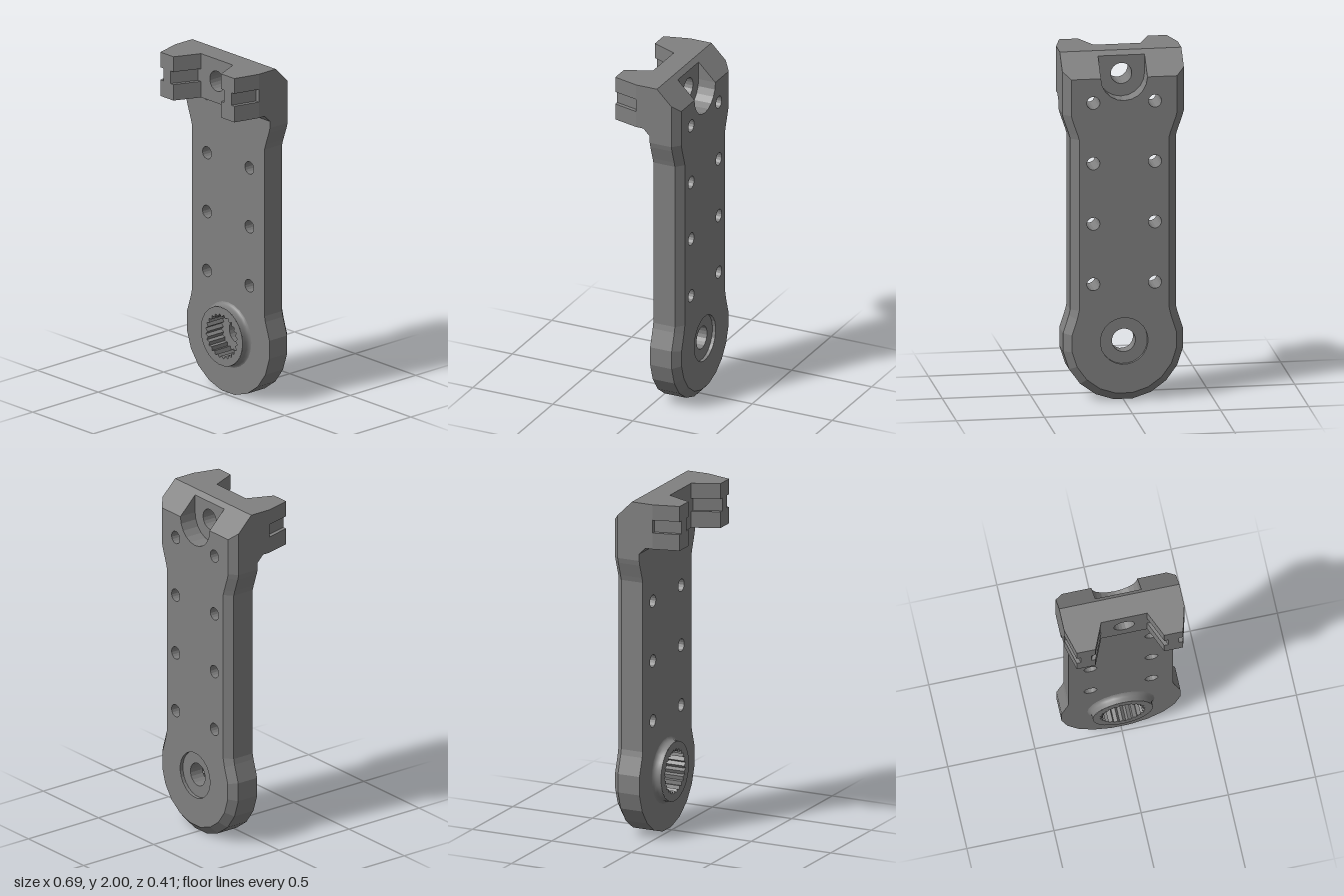
import * as THREE from 'three';
import { mergeGeometries } from 'three/addons/utils/BufferGeometryUtils.js';

const BACK = -0.205, FRONT = -0.03, HUB_Y = 0.345, BORE_Y = 1.87;
const HOLE_R = 0.037, HOLE_X = 0.175, HEAD_Y = 1.74;

const vec = (x, y) => new THREE.Vector2(x, y);
const mirror = (pts) => pts.map((p) => vec(-p.x, p.y));

function circle(cx, cy, r, n) {
  return Array.from({ length: n }, (_, i) => {
    const a = ((i + 0.5) / n) * Math.PI * 2;
    return vec(cx + r * Math.cos(a), cy + r * Math.sin(a));
  });
}

// Flat-shaded wall through rings [points, z]; counter-clockwise rings face outward
function wall(rings) {
  const pos = [];
  for (let s = 0; s < rings.length - 1; s++) {
    const [p, z0] = rings[s], [q, z1] = rings[s + 1];
    p.forEach((a, i) => {
      const j = (i + 1) % p.length, b = p[j], c = q[j], d = q[i];
      pos.push(a.x, a.y, z0, b.x, b.y, z0, c.x, c.y, z1);
      pos.push(a.x, a.y, z0, c.x, c.y, z1, d.x, d.y, z1);
    });
  }
  const g = new THREE.BufferGeometry();
  g.setAttribute('position', new THREE.Float32BufferAttribute(pos, 3));
  g.computeVertexNormals();
  return g;
}

// Inward-facing wall of a hole
const bore = (pts, z0, z1) => {
  const p = [...pts].reverse();
  return wall([[p, z0], [p, z1]]);
};

function shapeOf(pts, holes = []) {
  const s = new THREE.Shape(pts);
  s.holes = holes.map((h) => new THREE.Path(h));
  return s;
}

// Flat face at height z, looking forward or backward
function cap(pts, holes, z, backward = false) {
  let g = new THREE.ShapeGeometry(shapeOf(pts, holes)).toNonIndexed();
  g.deleteAttribute('uv');
  if (backward) {
    const a = g.attributes.position.array;
    for (let i = 0; i < a.length; i += 9) {
      for (let k = 0; k < 3; k++) [a[i + 3 + k], a[i + 6 + k]] = [a[i + 6 + k], a[i + 3 + k]];
    }
  }
  g.translate(0, 0, z);
  g.computeVertexNormals();
  return g;
}

const extrude = (pts, depth, holes) =>
  new THREE.ExtrudeGeometry(shapeOf(pts, holes), { depth, bevelEnabled: false });

// U-shaped pocket edge, from right top down and round to left top
function pocketEdge(top) {
  const pts = [vec(0.132, top)];
  for (let i = 0; i <= 10; i++) {
    const a = (-i / 10) * Math.PI;
    pts.push(vec(0.132 * Math.cos(a), BORE_Y + 0.132 * Math.sin(a)));
  }
  pts.push(vec(-0.132, top));
  return pts;
}

// Arm outline, counter-clockwise
function outline(inset, top, pocket) {
  const right = [];
  for (let deg = -81; deg <= 27; deg += 18) {
    const a = THREE.MathUtils.degToRad(deg), r = 0.345 - inset;
    right.push(vec(r * Math.cos(a), 0.341 + r * Math.sin(a)));
  }
  [[0.3, 0.53], [0.3, 1.52], [0.309, 1.55], [0.337, 1.63], [0.345, 1.66], [0.345, top]]
    .forEach(([x, y]) => right.push(vec(x - inset, y)));
  return [...right, ...(pocket ? pocketEdge(top) : []), ...mirror(right).reverse()];
}

export function createModel() {
  const model = new THREE.Group();
  const grey = new THREE.MeshStandardMaterial({ color: 0x808080 });
  grey.name = 'grey plastic';
  const add = (name, ...geos) => {
    geos.forEach((g) => g.deleteAttribute('uv'));
    const mesh = new THREE.Mesh(geos.length > 1 ? mergeGeometries(geos) : geos[0], grey);
    mesh.name = name;
    model.add(mesh);
  };

  // Arm with chamfered back edge, sloping top and screw holes
  const screwHoles = [];
  for (const y of [0.68, 1.03, 1.38, 1.73]) {
    for (const s of [-1, 1]) screwHoles.push(circle(s * HOLE_X, y, HOLE_R, 16));
  }
  const topBore = circle(0, BORE_Y, 0.06, 20);
  const recess = circle(0, HUB_Y, 0.135, 24);
  const backOutline = outline(0.045, 1.87, true);
  add('arm',
    wall([[backOutline, BACK], [outline(0, 1.91, true), -0.165], [outline(0, 1.975, true), -0.1]]),
    wall([[outline(0, 1.975), -0.1], [outline(0, 2), -0.075], [outline(0, 2), FRONT]]),
    cap(backOutline, [...screwHoles, recess], BACK, true),
    cap(outline(0, 2), [...screwHoles, topBore, circle(0, HUB_Y, 0.16, 24)], FRONT));
  add('screwHoles', ...screwHoles.map((h) => bore(h, BACK, FRONT)));
  add('backPocket', cap(pocketEdge(1.975), [topBore], -0.1, true), bore(topBore, -0.1, FRONT));

  // Hub: raised ring, toothed socket, through hole and shallow back recess
  const ringProfile = [[0.192, -0.03], [0.181, -0.025], [0.175, -0.012], [0.173, 0], [0.173, 0.02]];
  const ring = new THREE.LatheGeometry(ringProfile.map(([r, z]) => vec(r, z)), 24);
  ring.rotateX(Math.PI / 2).translate(0, HUB_Y, 0);
  add('hubRing', ring);
  const teeth = Array.from({ length: 48 }, (_, i) => {
    const a = (i / 48) * Math.PI * 2, r = i % 2 ? 0.132 : 0.115;
    return vec(r * Math.cos(a), HUB_Y + r * Math.sin(a));
  });
  const axle = circle(0, HUB_Y, 0.067, 20);
  add('hubSocket',
    cap(circle(0, HUB_Y, 0.173, 24), [teeth], 0.02),
    bore(teeth, -0.1, 0.02),
    cap(teeth, [axle], -0.1),
    bore(axle, -0.185, -0.1),
    cap(recess, [axle], -0.185, true),
    bore(recess, BACK, -0.185));

  // Head block with the bore
  const block = [vec(-0.345, HEAD_Y), vec(0.345, HEAD_Y), vec(0.345, 2), vec(-0.345, 2)];
  add('headBlock', extrude(block, 0.055 - FRONT, [topBore]).translate(0, 0, FRONT));

  // Sloping fillet below the head, interrupted by the top screw holes
  const holeEdge = (cx, side) => Array.from({ length: 6 }, (_, i) => {
    const y = 1.7 + 0.008 * i;
    return vec(cx + side * Math.sqrt(HOLE_R ** 2 - (y - 1.73) ** 2), y);
  });
  const outer = [vec(0.345, 1.7), vec(0.345, HEAD_Y), ...holeEdge(HOLE_X, 1).reverse()];
  const middle = [...holeEdge(HOLE_X, -1), ...holeEdge(-HOLE_X, 1).reverse()];
  add('headFillet', ...[outer, mirror(outer), middle].map((pts) => {
    const g = extrude(pts, 1), p = g.attributes.position;
    for (let i = 0; i < p.count; i++) p.setZ(i, p.getZ(i) > 0.5 ? p.getY(i) - 1.73 : FRONT);
    g.computeVertexNormals();
    return g;
  }));

  // Tapered prongs with a groove in both flanks
  const layers = [[1.74, 1.835, 0], [1.835, 1.91, 0.024], [1.91, 2, 0]];
  for (const side of [1, -1]) {
    add(side > 0 ? 'leftProng' : 'rightProng', ...layers.map(([y0, y1, cut]) => {
      const pts = [
        vec(0.132 + cut, -0.055), vec(0.197 + cut, -0.205),
        vec(0.305 - cut, -0.205), vec(0.345 - cut, -0.055),
      ];
      return extrude(side > 0 ? pts : mirror(pts), y1 - y0)
        .rotateX(-Math.PI / 2).translate(0, y0, 0);
    }));
  }
  return model;
}
